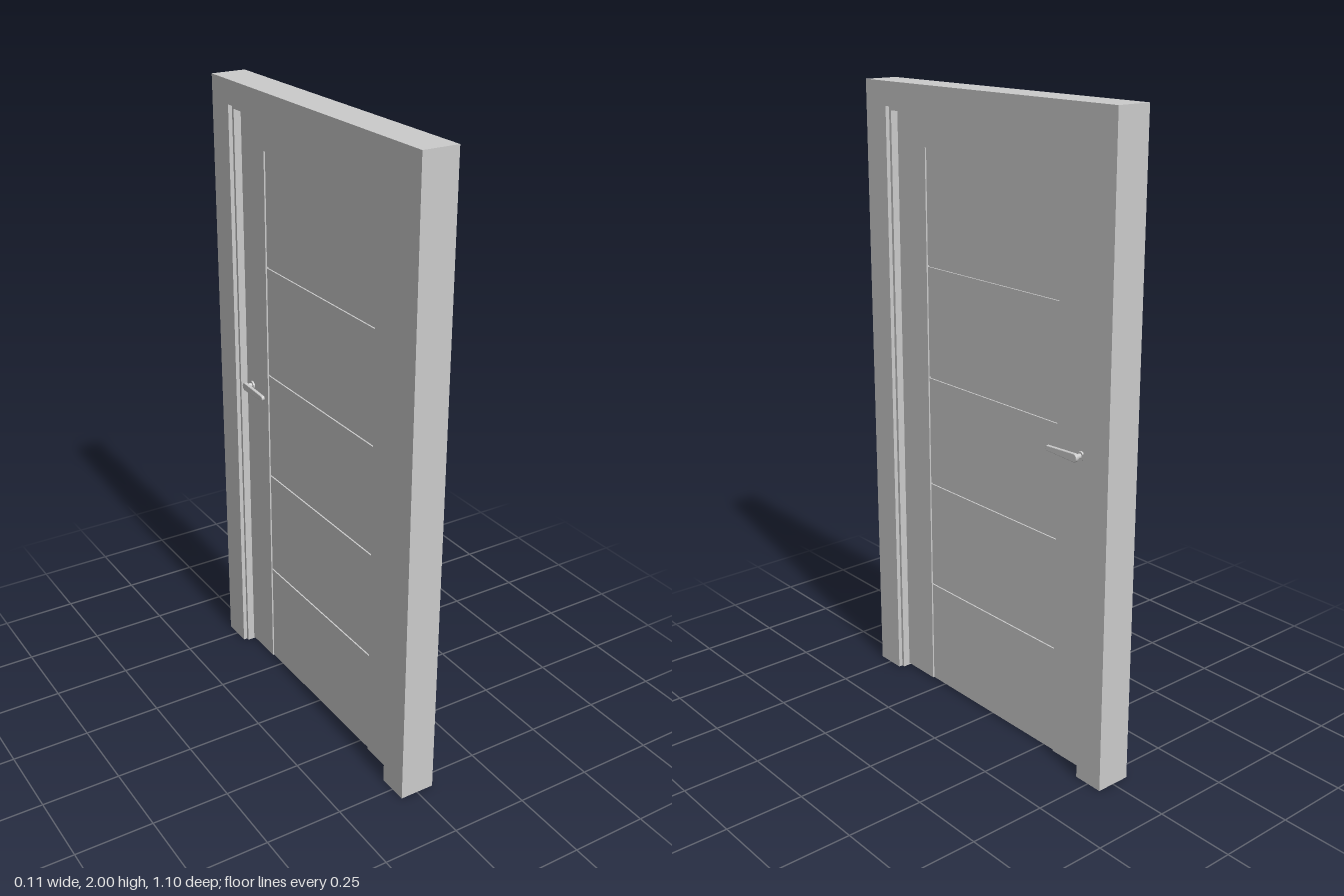
import * as THREE from 'three';

const mat = new THREE.MeshStandardMaterial({ color: 0xcccccc });

function add(parent, name, geometry, x = 0, y = 0, z = 0) {
  const mesh = new THREE.Mesh(geometry, mat);
  mesh.name = name;
  mesh.position.set(x, y, z);
  parent.add(mesh);
  return mesh;
}

// Box given by its limits along y and z, centred on x = 0
function slab(parent, name, depth, y0, y1, z0, z1) {
  return add(parent, name, new THREE.BoxGeometry(depth, y1 - y0, z1 - z0), 0, (y0 + y1) / 2, (z0 + z1) / 2);
}

// Upside-down U standing on the floor, open at the bottom, extruded along x
function portal(outerZ, outerY, innerZ, innerY, depth) {
  const pts = [
    [-outerZ, 0], [-innerZ, 0], [-innerZ, innerY], [innerZ, innerY],
    [innerZ, 0], [outerZ, 0], [outerZ, outerY], [-outerZ, outerY],
  ].map(([a, b]) => new THREE.Vector2(a, b));
  return new THREE.ExtrudeGeometry(new THREE.Shape(pts), { depth, bevelEnabled: false })
    .translate(0, 0, -depth / 2)
    .rotateY(Math.PI / 2);
}

// Round rose, neck and tapering lever, projecting along +x
function makeHandle(name) {
  const handle = new THREE.Group();
  handle.name = name;
  const alongX = (r, len) => new THREE.CylinderGeometry(r, r, len, 24).rotateZ(Math.PI / 2);
  add(handle, 'rose', alongX(0.014, 0.006), 0.003);
  add(handle, 'neck', alongX(0.008, 0.024), 0.014);
  const shape = new THREE.Shape();
  shape.moveTo(0, -0.011);
  shape.lineTo(0.112, -0.006);
  shape.quadraticCurveTo(0.118, 0, 0.112, 0.006);
  shape.lineTo(0, 0.011);
  shape.absarc(0, 0, 0.011, Math.PI / 2, Math.PI * 1.5, false);
  const lever = new THREE.ExtrudeGeometry(shape, {
    depth: 0.007, bevelThickness: 0.002, bevelSize: 0.002, bevelSegments: 2, curveSegments: 12,
  });
  lever.rotateY(-Math.PI / 2); // shape x runs along z
  add(handle, 'lever', lever, 0.03);
  return handle;
}

export function createModel() {
  const model = new THREE.Group();
  model.name = 'interiorDoor';

  // Frame with a stepped lining
  add(model, 'frame', portal(0.55, 2, 0.45, 1.925, 0.114));
  add(model, 'lining', portal(0.45, 1.925, 0.44, 1.912, 0.088));

  // Door leaf: stiles and top rail stand proud of the recessed panels
  const leaf = new THREE.Group();
  leaf.name = 'leaf';
  model.add(leaf);
  const bottom = 0.006, top = 1.912, railY = 1.81, stileZ = 0.304;
  const groove = 0.006;
  slab(leaf, 'core', 0.02, bottom, railY, -stileZ, stileZ);
  for (const s of [-1, 1]) {
    slab(leaf, s > 0 ? 'hingeStile' : 'lockStile', 0.04, bottom, top, Math.min(s * stileZ, s * 0.44), Math.max(s * stileZ, s * 0.44));
  }
  slab(leaf, 'topRail', 0.04, railY, top, -stileZ, stileZ);

  // Five panels parted by narrow horizontal grooves
  const joints = [bottom, 0.36, 0.722, 1.084, 1.446, railY];
  for (let i = 0; i < 5; i++) {
    const y0 = joints[i] + (i > 0 ? groove / 2 : 0);
    const y1 = joints[i + 1] - (i < 4 ? groove / 2 : 0);
    slab(leaf, 'panel' + (i + 1), 0.03, y0, y1, -stileZ, stileZ);
  }

  // Lever handle on both faces
  const outer = makeHandle('handleRight');
  outer.position.set(0.02, 1.014, -0.404);
  const inner = makeHandle('handleLeft');
  inner.position.set(-0.02, 1.014, -0.404);
  inner.scale.x = -1;
  model.add(outer, inner);

  return model;
}
